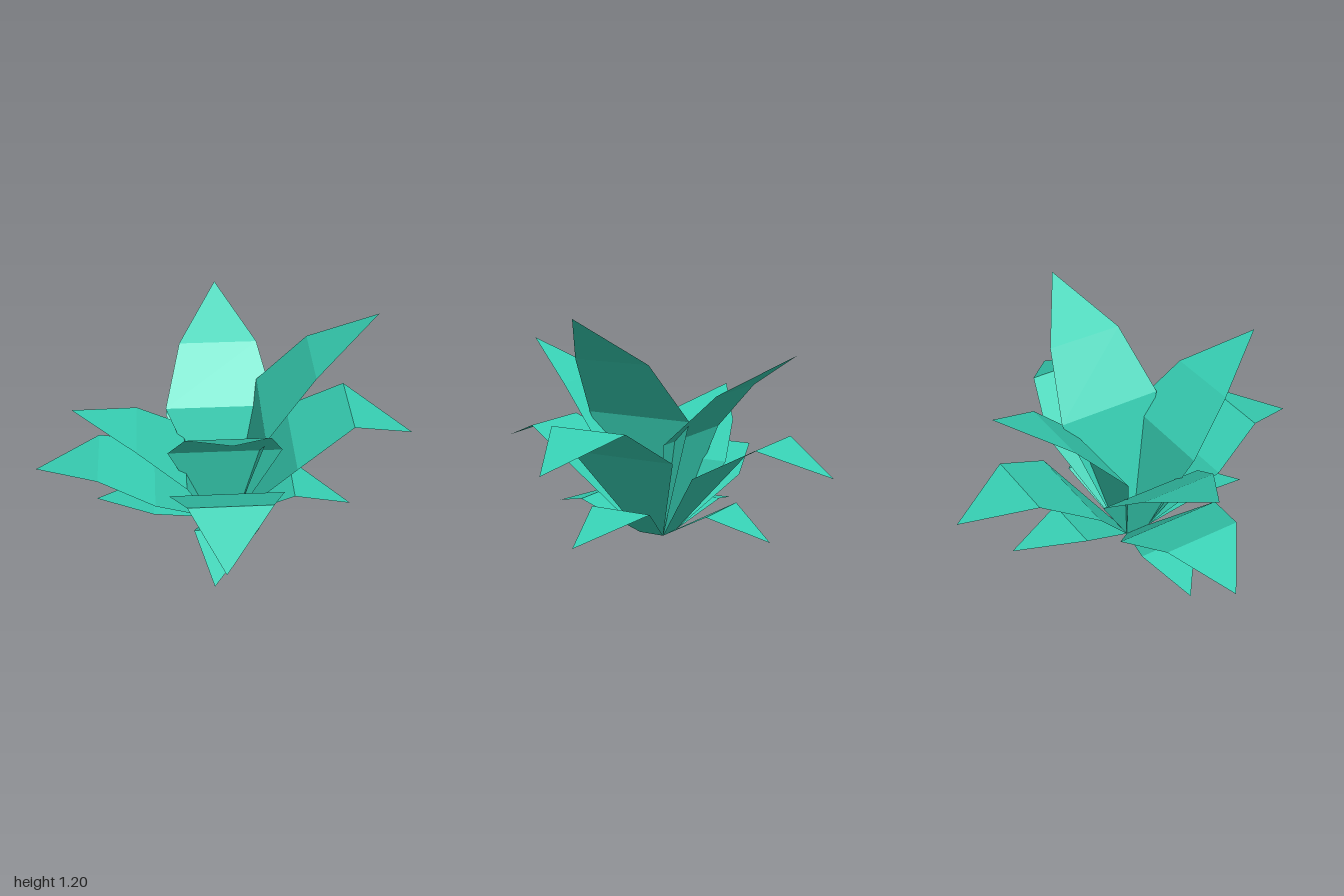
import * as THREE from 'three';

// Each leaf is a list of cross-sections: [distance from centre, height, half width, sideways shift]
const LEAVES = {
  upperLeaf: [[0.07, 0, 0.07, 0], [0.2, 0.65, 0.295, 0], [0.45, 0.96, 0.21, 0], [0.78, 1.2, 0, 0]],
  middleLeaf: [[0.07, 0, 0.07, 0], [0.365, 0.47, 0.295, 0], [0.66, 0.66, 0.21, 0], [1.0, 0.5, 0, -0.04]],
  lowerLeaf: [[0.07, 0, 0.07, 0], [0.375, 0.2, 0.17, 0], [0.69, 0.07, 0, -0.08]],
};

// Sides of the plant: turn about y and how high its leaves grow
const SIDES = [
  { name: 'front', turn: 0, rise: 0.82 },
  { name: 'left', turn: Math.PI / 2, rise: 1 },
  { name: 'back', turn: Math.PI, rise: 0.828 },
  { name: 'right', turn: -Math.PI / 2, rise: 0.57 },
];

// Flat ribbon pointing along +z that ends in a single point
function leafGeometry(sections, rise) {
  const positions = [];
  const index = [];
  sections.forEach(([out, height, half, shift], i) => {
    const y = height * rise;
    positions.push(shift - half, y, out);
    if (half > 0) positions.push(shift + half, y, out);
    if (i === 0) return;
    const a = (i - 1) * 2;
    index.push(a, a + 2, a + 1);
    if (half > 0) index.push(a + 1, a + 2, a + 3);
  });
  const geometry = new THREE.BufferGeometry();
  geometry.setAttribute('position', new THREE.Float32BufferAttribute(positions, 3));
  geometry.setIndex(index);
  const flat = geometry.toNonIndexed();
  flat.computeVertexNormals();
  return flat;
}

export function createModel() {
  const plant = new THREE.Group();
  plant.name = 'leafyPlant';
  const green = new THREE.MeshStandardMaterial({
    color: 0x37d0b4,
    flatShading: true,
    side: THREE.DoubleSide,
  });

  // Three tiers of leaves on each of the four sides
  for (const { name, turn, rise } of SIDES) {
    const cluster = new THREE.Group();
    cluster.name = `${name}Leaves`;
    cluster.rotation.y = turn;
    for (const [leafName, sections] of Object.entries(LEAVES)) {
      const leaf = new THREE.Mesh(leafGeometry(sections, rise), green);
      leaf.name = leafName;
      cluster.add(leaf);
    }
    plant.add(cluster);
  }
  return plant;
}
